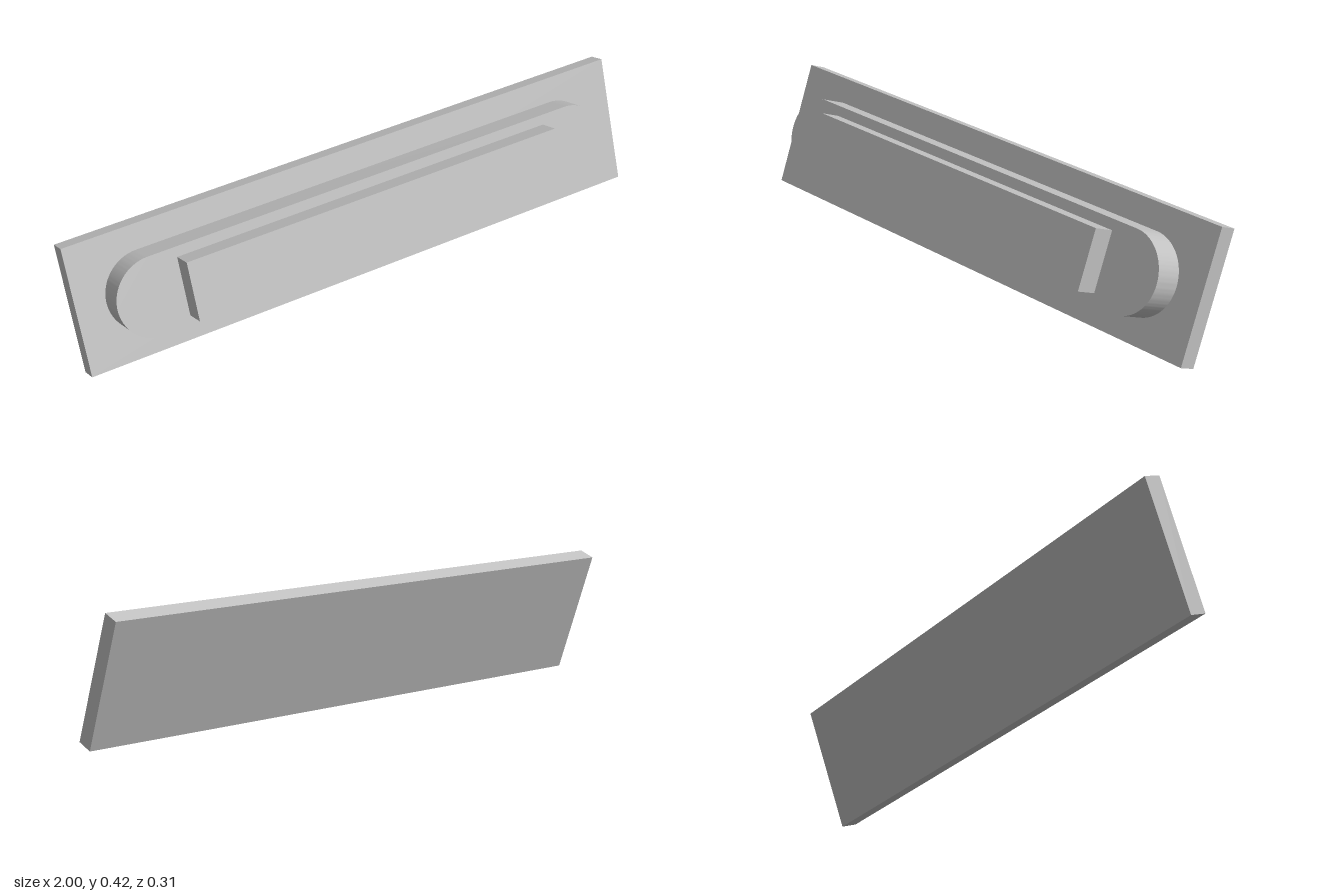
import * as THREE from 'three';
import { toCreasedNormals } from 'three/addons/utils/BufferGeometryUtils.js';

export function createModel() {
  const model = new THREE.Group();
  const grey = new THREE.MeshStandardMaterial({ color: 0xc0c0c0 });
  grey.name = 'light grey';

  // Everything is stacked along local z on one leaning assembly
  const assembly = new THREE.Group();
  assembly.name = 'leaningAssembly';
  assembly.rotation.x = THREE.MathUtils.degToRad(-20);
  assembly.position.set(0, 0.221, -0.0285);
  model.add(assembly);

  function addPart(name, geometry, z) {
    const mesh = new THREE.Mesh(geometry, grey);
    mesh.name = name;
    mesh.position.z = z;
    assembly.add(mesh);
  }

  // Back plate, its front face at local z = 0
  const plateDepth = 0.056;
  addPart('backPlate', new THREE.BoxGeometry(2, 0.429, plateDepth), -plateDepth / 2);

  // Middle block with fully rounded ends
  const radius = 0.1315, straight = 0.9 - radius, middleDepth = 0.089;
  const outline = new THREE.Shape();
  outline.moveTo(-straight, -radius);
  outline.lineTo(straight, -radius);
  outline.absarc(straight, 0, radius, -Math.PI / 2, Math.PI / 2, false);
  outline.lineTo(-straight, radius);
  outline.absarc(-straight, 0, radius, Math.PI / 2, Math.PI * 1.5, false);
  const rounded = new THREE.ExtrudeGeometry(outline, {
    depth: middleDepth, bevelEnabled: false, curveSegments: 32,
  });
  addPart('roundedBlock', toCreasedNormals(rounded, 0.6), 0);

  // Raised rectangular front bar
  const barDepth = 0.071;
  addPart('frontBar', new THREE.BoxGeometry(1.354, 0.196, barDepth), middleDepth + barDepth / 2);

  return model;
}
